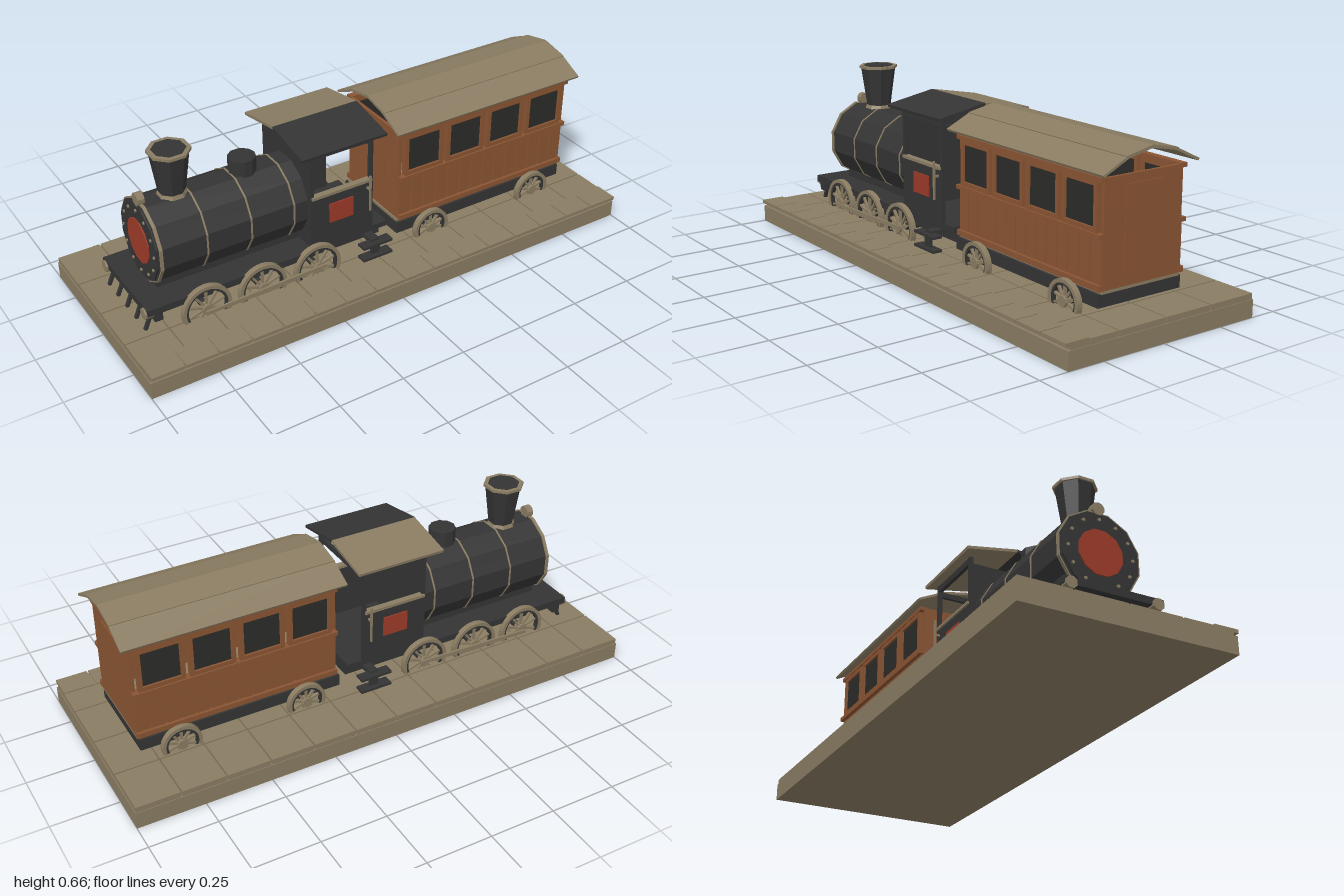
import * as THREE from 'three';

const mat = (name, color) => Object.assign(new THREE.MeshStandardMaterial({ color }), { name });

export function createModel() {
  const stone = mat('tan', 0x8a7c62), black = mat('black', 0x343434), wood = mat('wood', 0x8a5533);
  const glass = mat('glass', 0x2b2b2a), red = mat('red', 0x9c3a28);
  const root = new THREE.Group();
  const group = (name, parent = root, z = 0) => {
    const g = new THREE.Group();
    g.name = name; g.position.z = z; parent.add(g);
    return g;
  };
  const add = (parent, name, geo, m, x = 0, y = 0, z = 0) => {
    const mesh = new THREE.Mesh(geo, m);
    mesh.name = name; mesh.position.set(x, y, z); parent.add(mesh);
    return mesh;
  };
  // box from its limits
  const box = (p, name, m, x0, x1, y0, y1, z0, z1) =>
    add(p, name, new THREE.BoxGeometry(x1 - x0, y1 - y0, z1 - z0), m, (x0 + x1) / 2, (y0 + y1) / 2, (z0 + z1) / 2);
  // faceted cylinder, axis 'x', 'y' or 'z', with a flat side facing up or forward
  const cyl = (p, name, m, rTop, rBot, h, n, axis, x, y, z) => {
    let g = new THREE.CylinderGeometry(rTop, rBot, h, n);
    g.rotateY(Math.PI / n);
    if (axis === 'x') g.rotateX(Math.PI / 2).rotateY(Math.PI / 2).rotateX(Math.PI / 2);
    if (axis === 'z') g.rotateX(Math.PI / 2);
    g = g.toNonIndexed(); g.computeVertexNormals();
    return add(p, name, g, m, x, y, z);
  };
  // sloping board along x between two points [z, y]
  const board = (p, name, m, x0, x1, a, b, t) => {
    const dz = b[0] - a[0], dy = b[1] - a[1];
    const s = add(p, name, new THREE.BoxGeometry(x1 - x0, t, Math.hypot(dz, dy)), m, (x0 + x1) / 2, (a[1] + b[1]) / 2, (a[0] + b[0]) / 2);
    s.rotation.x = -Math.atan2(dy, dz);
    return s;
  };
  // flat ring facing z
  const ring = (R, r, depth, n) => {
    const s = new THREE.Shape(), h = new THREE.Path();
    s.absarc(0, 0, R, 0, Math.PI * 2); h.absarc(0, 0, r, 0, Math.PI * 2, true);
    s.holes.push(h);
    return new THREE.ExtrudeGeometry(s, { depth, bevelEnabled: false, curveSegments: n }).translate(0, 0, -depth / 2);
  };
  const sides = [1, -1];

  // paved base
  const base = group('base');
  box(base, 'slab', stone, -1, 1, 0, 0.065, -0.4, 0.392);
  const rows = [-0.4, -0.205, -0.008, 0.19, 0.384];
  for (let r = 0; r < 4; r++)
    for (let c = 0; c < 12; c++)
      box(base, 'pavingStone', stone, -1 + c / 6 + 0.003, -1 + (c + 1) / 6 - 0.003, 0.06, 0.086, rows[r] + 0.003, rows[r + 1] - 0.003);
  for (let c = 0; c < 16; c++)
    box(base, 'edgeStone', stone, -1 + c / 8 + 0.003, -1 + (c + 1) / 8 - 0.003, 0.078, 0.091, 0.308, 0.4);

  // spoked wheel
  const wheel = (p, x, y, z, R) => {
    const w = group('wheel', p);
    w.position.set(x, y, z);
    add(w, 'rim', ring(R, R - 0.013, 0.022, 20), stone);
    add(w, 'innerRim', ring(R - 0.012, R - 0.022, 0.014, 20), black);
    cyl(w, 'hub', stone, 0.02, 0.02, 0.028, 10, 'z', 0, 0, 0);
    for (let i = 0; i < 5; i++)
      add(w, 'spoke', new THREE.BoxGeometry(0.008, 2 * R - 0.02, 0.01), stone).rotation.z = i * Math.PI / 5;
  };
  const axle = (p, x, y, R) => {
    cyl(p, 'axle', black, 0.014, 0.014, 0.37, 8, 'z', x, y, 0);
    for (const s of sides) wheel(p, x, y, s * 0.19, R);
  };

  // locomotive chassis
  const loco = group('locomotive', root, 0.004);
  box(loco, 'chassis', black, -0.84, 0.06, 0.118, 0.165, -0.13, 0.13);
  box(loco, 'runningBoard', black, -0.905, -0.25, 0.16, 0.186, -0.184, 0.184);
  box(loco, 'bufferBeam', black, -0.88, -0.85, 0.13, 0.165, -0.184, 0.184);
  for (const s of sides) cyl(loco, 'buffer', stone, 0.022, 0.022, 0.045, 8, 'x', -0.89, 0.163, s * 0.16);
  for (let i = -2; i <= 2; i++)
    box(loco, 'guardBar', black, -0.894, -0.882, 0.083, 0.17, i * 0.075 - 0.006, i * 0.075 + 0.006).rotation.z = -0.4;
  for (const x of [-0.69, -0.47, -0.245]) axle(loco, x, 0.117, 0.094);
  for (const s of sides) {
    const rod = box(loco, 'sideRod', stone, -0.7, -0.22, 0.109, 0.123, s * 0.209 - 0.004, s * 0.209 + 0.004);
    rod.rotation.z = 0.03;
    box(loco, 'pistonRod', stone, -0.62, -0.4, 0.1, 0.109, s * 0.205 - 0.004, s * 0.205 + 0.004);
    for (const y of [0.095, 0.147]) box(loco, 'step', black, -0.075, 0.05, y, y + 0.01, s * 0.218 - 0.02, s * 0.218 + 0.02);
    box(loco, 'stepHanger', black, -0.03, 0.005, 0.095, 0.157, s * 0.215 - 0.006, s * 0.215 + 0.006);
    box(loco, 'stepBracket', black, -0.03, 0.005, 0.147, 0.165, s * 0.18 - 0.035, s * 0.18 + 0.035);
  }

  // boiler
  const R = 0.153, by = 0.342;
  cyl(loco, 'boiler', black, R, R, 0.58, 12, 'x', -0.54, by, 0);
  box(loco, 'boilerSaddle', black, -0.82, -0.25, 0.18, 0.23, -0.08, 0.08);
  for (const x of [-0.65, -0.48, -0.31]) cyl(loco, 'boilerBand', stone, R + 0.003, R + 0.003, 0.006, 12, 'x', x, by, 0);
  cyl(loco, 'frontRim', stone, R + 0.005, R + 0.005, 0.012, 12, 'x', -0.823, by, 0);
  cyl(loco, 'frontPlate', black, R - 0.008, R - 0.008, 0.012, 12, 'x', -0.83, by, 0);
  cyl(loco, 'boilerDoor', red, 0.085, 0.085, 0.008, 12, 'x', -0.836, by, 0);
  for (let i = 0; i < 12; i++) {
    const a = i * Math.PI / 6;
    cyl(loco, 'bolt', stone, 0.006, 0.006, 0.008, 6, 'x', -0.837, by + Math.cos(a) * 0.122, Math.sin(a) * 0.122);
  }
  cyl(loco, 'headlamp', stone, 0.024, 0.024, 0.026, 10, 'x', -0.823, 0.507, 0);

  // chimney and dome
  cyl(loco, 'chimneyFoot', stone, 0.05, 0.055, 0.014, 8, 'y', -0.7, 0.495, 0);
  cyl(loco, 'chimney', black, 0.07, 0.046, 0.17, 8, 'y', -0.7, 0.57, 0);
  cyl(loco, 'chimneyRim', stone, 0.077, 0.077, 0.01, 8, 'y', -0.7, 0.658, 0);
  cyl(loco, 'chimneyMouth', black, 0.06, 0.06, 0.003, 8, 'y', -0.7, 0.6628, 0);
  cyl(loco, 'dome', black, 0.051, 0.051, 0.065, 10, 'y', -0.43, 0.514, 0);

  // cab
  const cab = group('cab', loco);
  box(cab, 'floor', black, -0.255, 0.07, 0.165, 0.187, -0.165, 0.165);
  box(cab, 'frontWall', black, -0.255, -0.243, 0.187, 0.55, -0.165, 0.165);
  box(cab, 'rearBeam', black, -0.005, 0.007, 0.53, 0.55, -0.165, 0.165);
  for (const s of sides) {
    const z = (a, b) => [Math.min(s * a, s * b), Math.max(s * a, s * b)];
    box(cab, 'sideWall', black, -0.255, 0.007, 0.17, 0.39, ...z(0.153, 0.167));
    box(cab, 'sill', stone, -0.25, 0.0, 0.387, 0.398, ...z(0.15, 0.174));
    for (const x of [-0.255, -0.007]) box(cab, 'post', black, x, x + 0.014, 0.39, 0.575, ...z(0.153, 0.167));
    box(cab, 'topRail', black, -0.255, 0.007, 0.548, 0.572, ...z(0.153, 0.167));
    box(cab, 'sidePlate', red, -0.178, -0.078, 0.27, 0.348, ...z(0.166, 0.172));
    box(cab, 'handrail', stone, -0.02, -0.013, 0.275, 0.42, ...z(0.183, 0.19));
    box(cab, 'railBracket', stone, -0.02, -0.013, 0.358, 0.366, ...z(0.165, 0.188));
    board(cab, 'roofSlope', s > 0 ? black : stone, -0.305, 0.043, [s * 0.2, 0.58], [0, 0.617], 0.011);
  }

  // passenger carriage
  const car = group('carriage', root, 0.004);
  box(car, 'coupling', black, 0.05, 0.13, 0.132, 0.148, -0.02, 0.02);
  box(car, 'underframe', black, 0.11, 0.885, 0.12, 0.165, -0.176, 0.176);
  box(car, 'floor', stone, 0.115, 0.89, 0.165, 0.176, -0.165, 0.165);
  for (const x of [0.255, 0.74]) axle(car, x, 0.108, 0.075);
  for (const s of sides) {
    const z = (a, b) => [Math.min(s * a, s * b), Math.max(s * a, s * b)];
    box(car, 'lowerWall', wood, 0.12, 0.89, 0.176, 0.36, ...z(0.15, 0.163));
    box(car, 'bottomTrim', wood, 0.12, 0.893, 0.176, 0.196, ...z(0.16, 0.181));
    box(car, 'waistRail', wood, 0.12, 0.893, 0.347, 0.362, ...z(0.155, 0.184));
    box(car, 'topRail', wood, 0.12, 0.893, 0.528, 0.543, ...z(0.155, 0.181));
    for (let i = 0; i < 14; i++) // wall planks
      box(car, 'plank', wood, 0.124 + i * 0.055, 0.174 + i * 0.055, 0.194, 0.35, ...z(0.16, 0.17));
    for (let i = 0; i < 4; i++) { // framed windows with open gaps between them
      const a = 0.14 + i * 0.1865, b = a + 0.171;
      const w = group('window', car);
      for (const x of [a, b - 0.016]) box(w, 'frameSide', wood, x, x + 0.016, 0.36, 0.53, ...z(0.158, 0.178));
      for (const y of [0.36, 0.512]) box(w, 'frameBar', wood, a + 0.016, b - 0.016, y, y + 0.018, ...z(0.158, 0.178));
      box(w, 'pane', glass, a + 0.016, b - 0.016, 0.378, 0.512, ...z(0.164, 0.17));
    }
    board(car, 'roofEave', stone, 0.09, 0.925, [s * 0.2, 0.556], [s * 0.1, 0.604], 0.009);
    board(car, 'roofRidge', stone, 0.09, 0.925, [s * 0.108, 0.603], [0, 0.625], 0.01);
  }
  // end walls with doors
  for (const [x, d] of [[0.12, -1], [0.879, 1]]) {
    box(car, 'endWall', wood, x, x + 0.012, 0.176, 0.54, -0.165, 0.165);
    const f = d > 0 ? x + 0.012 : x - 0.004;
    box(car, 'endDoor', wood, f, f + 0.004, 0.22, 0.51, -0.078, 0.078);
  }
  return root;
}
